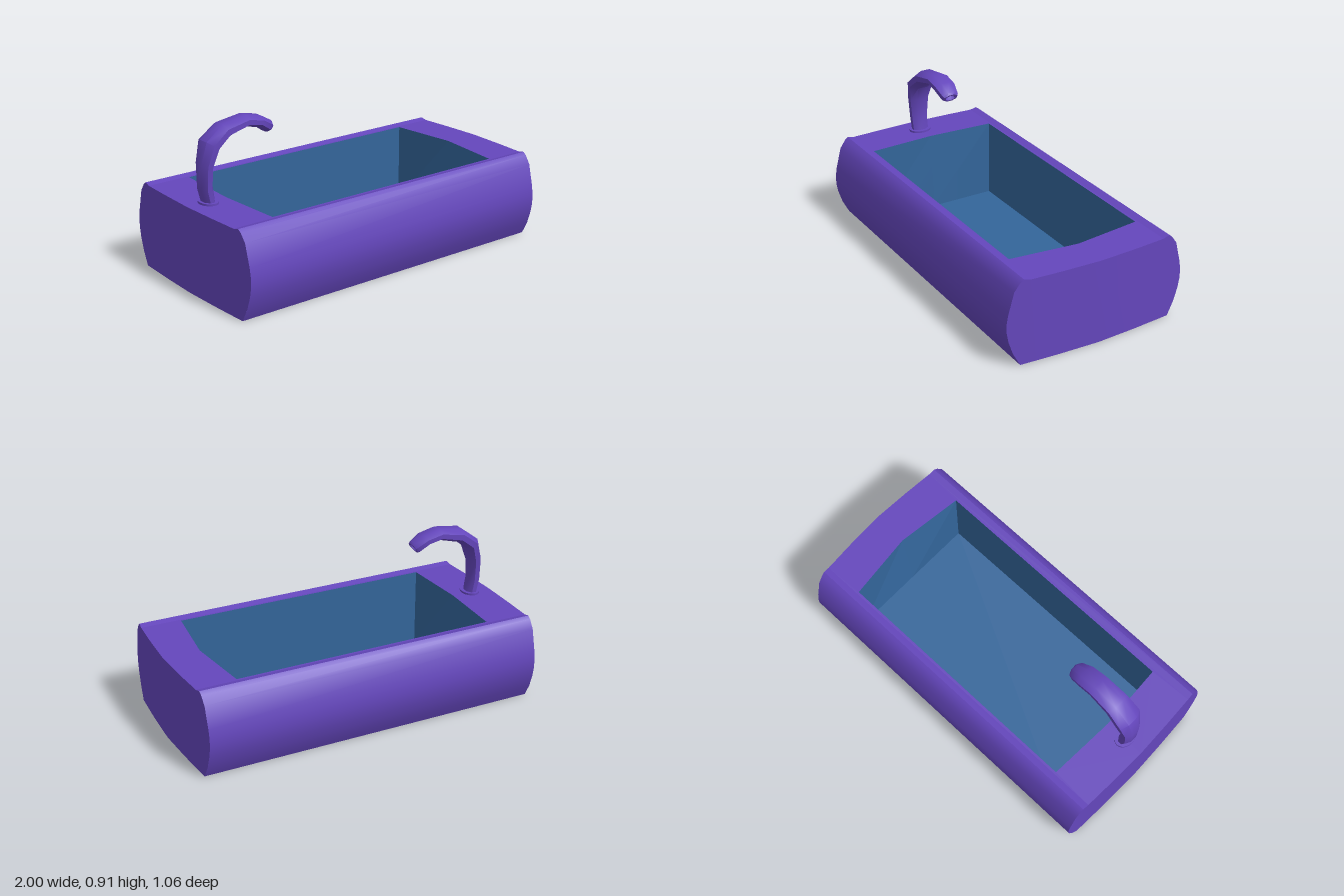
import * as THREE from 'three';
import { toCreasedNormals } from 'three/addons/utils/BufferGeometryUtils.js';

const V = (x, y, z) => new THREE.Vector3(x, y, z);
const purple = new THREE.MeshStandardMaterial({ color: 0x6446bc, side: THREE.DoubleSide });
const blue = new THREE.MeshStandardMaterial({ color: 0x33659a, side: THREE.DoubleSide });

// Surface through rows of points; the front faces (along row) x (row to row)
function grid(rows, crease = 0.5) {
  const pos = [];
  const tri = (a, b, c) => {
    if (b.clone().sub(a).cross(c.clone().sub(a)).length() < 1e-9) return;
    for (const p of [a, b, c]) pos.push(p.x, p.y, p.z);
  };
  for (let i = 0; i < rows.length - 1; i++) {
    for (let j = 0; j < rows[i].length - 1; j++) {
      const a = rows[i][j], b = rows[i][j + 1], c = rows[i + 1][j + 1], d = rows[i + 1][j];
      tri(a, b, c);
      tri(a, c, d);
    }
  }
  const g = new THREE.BufferGeometry();
  g.setAttribute('position', new THREE.Float32BufferAttribute(pos, 3));
  return toCreasedNormals(g, crease);
}

function add(parent, name, geometry, material) {
  const mesh = new THREE.Mesh(geometry, material);
  mesh.name = name;
  parent.add(mesh);
  return mesh;
}

// Slightly bowed ends of the tub
const bow = z => Math.pow(Math.min(1, Math.abs(z) / 0.53), 1.4);
const rightX = z => 1 - 0.035 * bow(z);
const leftX = z => -1 + 0.022 * bow(z);

// Half profile as [z, y]
const lower = [[0, 0], [0.23, 0], [0.455, 0], [0.495, 0.075], [0.52, 0.15], [0.53, 0.205]];
const upper = [[0.53, 0.255], [0.522, 0.305], [0.49, 0.425], [0.457, 0.47], [0.437, 0.484], [0.4, 0.475]];
const TOP = 0.475;

function heightAt(points, z) {
  for (let i = 0; i < points.length - 1; i++) {
    const [z0, y0] = points[i], [z1, y1] = points[i + 1];
    if (z <= z1 + 1e-9) return y0 + (y1 - y0) * (z - z0) / (z1 - z0);
  }
  return points[points.length - 1][1];
}

function createTub() {
  const tub = new THREE.Group();
  tub.name = 'tub';

  // Sides, rolled rims and underside
  const half = [...lower, ...upper];
  const profile = [...half.slice(1).reverse().map(([z, y]) => [-z, y]), ...half];
  add(tub, 'shell', grid(profile.map(([z, y]) => [V(leftX(z), y, z), V(rightX(z), y, z)])), purple);

  // End walls, in columns from underside to rim
  const topCurve = [[0, TOP], ...upper.slice().reverse()];
  const zs = [0, 0.23, 0.4, 0.437, 0.455, 0.457, 0.49, 0.495, 0.52, 0.522, 0.53];
  const columns = [...zs.slice(1).reverse().map(z => -z), ...zs];
  const endWall = (xAt, flip) => grid(columns.map(z => {
    const a = Math.abs(z);
    const col = [V(xAt(z), heightAt(lower, a), z), V(xAt(z), heightAt(topCurve, a), z)];
    return flip ? col.reverse() : col;
  }));
  add(tub, 'leftEnd', endWall(rightX, false), purple);
  add(tub, 'rightEnd', endWall(leftX, true), purple);

  // Deck with the basin opening
  const basin = [[-0.742, 0.387], [0.75, 0.387], [0.795, 0], [0.75, -0.387], [-0.742, -0.387], [-0.762, 0]];
  const dz = [-0.4, -0.23, 0, 0.23, 0.4];
  const outline = [...dz.map(z => [rightX(z), z]), ...dz.slice().reverse().map(z => [leftX(z), z])];
  const toPoints = list => list.map(([x, z]) => new THREE.Vector2(x, z));
  const shape = new THREE.Shape(toPoints(outline));
  shape.holes.push(new THREE.Path(toPoints(basin)));
  const deck = new THREE.ShapeGeometry(shape);
  deck.rotateX(-Math.PI / 2);
  deck.translate(0, TOP, 0);
  add(tub, 'deck', deck, purple);

  // Basin walls lean out to the bowed opening above a rectangular floor
  const floorY = 0.02;
  const loop = [...basin, basin[0]];
  const walls = [
    loop.map(([x, z]) => V(x, TOP, z)),
    loop.map(([x, z]) => V(x > 0 ? 0.75 : -0.742, floorY, z)),
  ];
  add(tub, 'basinWalls', grid(walls, 0.05), blue);
  const floor = [-0.742, 0.75].map(x => [V(x, floorY, -0.387), V(x, floorY, 0.387)]);
  add(tub, 'basinFloor', grid(floor), blue);
  return tub;
}

function createTap() {
  const tap = new THREE.Group();
  tap.name = 'tap';
  tap.position.z = 0.01;

  // Stations along the spout: x, y, thickness radius, width radius
  const stations = [
    [-0.878, 0.475, 0.03, 0.048], [-0.895, 0.56, 0.035, 0.05], [-0.893, 0.68, 0.037, 0.06],
    [-0.862, 0.785, 0.042, 0.077], [-0.78, 0.848, 0.04, 0.07], [-0.65, 0.875, 0.032, 0.064],
    [-0.565, 0.857, 0.031, 0.062], [-0.507, 0.82, 0.034, 0.05],
  ];
  const SIDES = 8;
  const tangent = i => {
    const a = stations[Math.max(0, i - 1)], b = stations[Math.min(stations.length - 1, i + 1)];
    return V(b[0] - a[0], b[1] - a[1], 0).normalize();
  };
  const ring = (i, scale = 1, along = 0) => {
    const [x, y, r, w] = stations[i], t = tangent(i);
    return Array.from({ length: SIDES + 1 }, (_, j) => {
      const a = ((j % SIDES) + 0.5) / SIDES * Math.PI * 2;
      const n = Math.cos(a) * r * scale * 1.06;
      return V(x - t.y * n + t.x * along, y + t.x * n + t.y * along, Math.sin(a) * w * scale * 1.06);
    });
  };
  const last = stations.length - 1;
  const rows = stations.map((_, i) => ring(i));
  // Hollow mouth
  rows.push(ring(last, 0.85, 0.012), ring(last, 0.6, 0.012), ring(last, 0.55, -0.015), ring(last, 0, -0.015));
  add(tap, 'spout', grid(rows, 0.7), purple);

  // Oval foot plate
  const foot = new THREE.CylinderGeometry(1, 1, 0.012, 16);
  foot.scale(0.05, 1, 0.066);
  foot.translate(-0.878, TOP + 0.005, 0);
  add(tap, 'footPlate', toCreasedNormals(foot, 0.6), purple);
  return tap;
}

export function createModel() {
  const model = new THREE.Group();
  model.name = 'bathtub';
  model.add(createTub(), createTap());
  return model;
}
